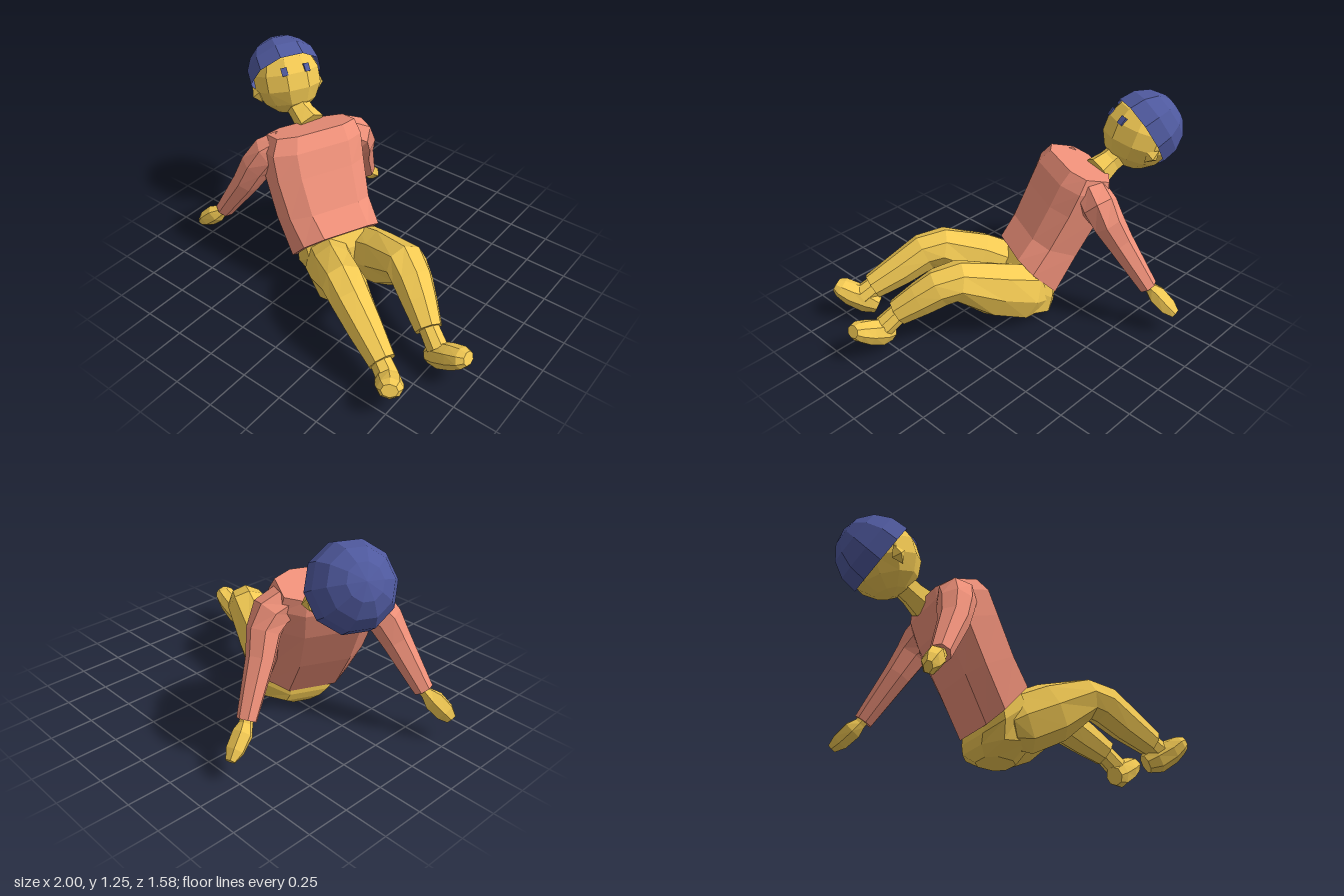
import * as THREE from 'three';

const V = (x, y, z) => new THREE.Vector3(x, y, z);
const mat = (color) => new THREE.MeshStandardMaterial({ color, flatShading: true, side: THREE.DoubleSide });
const SHIRT = mat(0xf0917a), SKIN = mat(0xf2c953), HAIR = mat(0x4f599e);

// Closed skin over rings { c, a, b }: points c + a cos + b sin.
// "phase" turns the first corner, "box" < 1 squares the outline.
function loft(name, material, rings, sides, phase, box) {
  const pos = [], idx = [];
  const sq = (v) => Math.sign(v) * Math.abs(v) ** box;
  for (const { c, a, b } of rings) {
    for (let j = 0; j < sides; j++) {
      const t = ((j + phase) / sides) * Math.PI * 2;
      const p = c.clone().addScaledVector(a, sq(Math.cos(t))).addScaledVector(b, sq(Math.sin(t)));
      pos.push(p.x, p.y, p.z);
    }
  }
  const last = rings.length - 1;
  const end = rings.length * sides;
  pos.push(...rings[0].c.toArray(), ...rings[last].c.toArray());
  for (let j = 0; j < sides; j++) {
    const k = (j + 1) % sides;
    for (let i = 0; i < last; i++) {
      const p = i * sides, q = p + sides;
      idx.push(p + j, p + k, q + k, p + j, q + k, q + j);
    }
    idx.push(end, k, j, end + 1, last * sides + j, last * sides + k);
  }
  const geo = new THREE.BufferGeometry();
  geo.setAttribute('position', new THREE.Float32BufferAttribute(pos, 3));
  geo.setIndex(idx);
  geo.computeVertexNormals();
  const mesh = new THREE.Mesh(geo, material);
  mesh.name = name;
  return mesh;
}

// Limb along points [x, y, z, halfHeight, halfWidth]
function limb(name, material, pts, sides = 8, up = V(0, 1, 0)) {
  const c = pts.map((p) => V(p[0], p[1], p[2]));
  const rings = pts.map((p, i) => {
    const t = c[Math.min(i + 1, c.length - 1)].clone().sub(c[Math.max(i - 1, 0)]).normalize();
    const a = up.clone().addScaledVector(t, -up.dot(t)).normalize();
    const b = t.clone().cross(a).multiplyScalar(p[4] ?? p[3]);
    return { c: c[i], a: a.multiplyScalar(p[3]), b };
  });
  return loft(name, material, rings, sides, 0, 1);
}

// Body rings: centre, forward half-depth vector, half-width towards the figure's left arm
function body(name, material, rows, box) {
  const side = V(0.42, 0, -0.907);
  return loft(name, material, rows.map(([c, f, w]) => ({
    c: V(...c), a: V(...f), b: side.clone().multiplyScalar(w),
  })), 8, 0.5, box);
}

function createHead() {
  const head = new THREE.Group();
  head.name = 'head';
  head.position.set(-0.745, 1.03, -0.25);
  head.lookAt(head.position.clone().add(V(0.84, 0.342, 0.42)));

  // skull, narrowing towards the chin
  const geo = new THREE.SphereGeometry(0.216, 10, 7);
  const p = geo.attributes.position;
  for (let i = 0; i < p.count; i++) {
    const y = p.getY(i);
    p.setX(i, p.getX(i) * (y < -0.05 ? 0.96 + (y + 0.05) * 0.5 : 0.96));
  }
  const skull = new THREE.Mesh(geo, SKIN);
  skull.name = 'skull';
  skull.position.set(0, -0.022, 0.014);
  head.add(skull);

  // hair cap, tipped to the back
  const hair = new THREE.Mesh(
    new THREE.SphereGeometry(0.232, 10, 4, 0, Math.PI * 2, 0, Math.PI * 0.53), HAIR);
  hair.name = 'hair';
  hair.rotation.x = -0.7;
  hair.scale.x = 0.97;
  head.add(hair);

  for (const s of [-1, 1]) {
    const eye = new THREE.Mesh(new THREE.BoxGeometry(0.036, 0.048, 0.022), HAIR);
    eye.name = 'eye';
    eye.position.set(s * 0.067, 0.043, 0.198);
    eye.rotation.set(-0.3, s * 0.32, 0);
    const ear = new THREE.Mesh(new THREE.OctahedronGeometry(1), SKIN);
    ear.name = 'ear';
    ear.scale.set(0.032, 0.055, 0.045);
    ear.position.set(s * 0.195, -0.085, 0.01);
    ear.rotation.set(-0.4, 0, -s * 0.3);
    head.add(eye, ear);
  }
  return head;
}

export function createModel() {
  const model = new THREE.Group();
  model.name = 'recliningFigure';

  // trunk
  model.add(body('shirt', SHIRT, [
    [[-0.12, 0.265, 0.065], [0.125, 0.145, 0.045], 0.255],
    [[-0.235, 0.44, 0.035], [0.145, 0.08, 0.055], 0.265],
    [[-0.335, 0.66, -0.015], [0.155, 0.055, 0.065], 0.285],
    [[-0.38, 0.8, -0.045], [0.15, 0.045, 0.065], 0.29],
    [[-0.4, 0.88, -0.07], [0.12, 0.04, 0.05], 0.255],
  ], 0.62));
  model.add(body('hips', SKIN, [
    [[-0.06, 0.003, 0.04], [0.11, 0, 0.03], 0.11],
    [[-0.06, 0.07, 0.045], [0.15, 0.02, 0.06], 0.22],
    [[-0.1, 0.2, 0.055], [0.135, 0.11, 0.05], 0.245],
    [[-0.14, 0.3, 0.055], [0.1, 0.11, 0.04], 0.23],
  ], 0.8));
  model.add(limb('neck', SKIN, [
    [-0.47, 0.83, -0.15, 0.09], [-0.55, 0.87, -0.17, 0.072], [-0.67, 0.94, -0.21, 0.072],
  ], 6));
  model.add(createHead());

  // arms, propped behind the back
  const fwd = V(0.9, 0.2, 0.4);
  model.add(limb('rightSleeve', SHIRT, [
    [-0.48, 0.79, 0.08, 0.1], [-0.55, 0.745, 0.135, 0.108], [-0.61, 0.66, 0.18, 0.098],
    [-0.67, 0.54, 0.215, 0.083], [-0.835, 0.28, 0.27, 0.055],
  ], 7, fwd));
  model.add(limb('rightHand', SKIN, [
    [-0.82, 0.3, 0.265, 0.035], [-0.855, 0.265, 0.275, 0.037], [-0.895, 0.23, 0.29, 0.052, 0.062],
    [-0.955, 0.175, 0.315, 0.045, 0.058], [-0.99, 0.14, 0.33, 0.022, 0.033],
  ], 6, fwd));
  model.add(limb('leftSleeve', SHIRT, [
    [-0.3, 0.79, -0.25, 0.1], [-0.275, 0.745, -0.325, 0.108], [-0.285, 0.66, -0.385, 0.095],
    [-0.325, 0.54, -0.445, 0.08], [-0.4, 0.275, -0.61, 0.055],
  ], 7, fwd));
  model.add(limb('leftHand', SKIN, [
    [-0.395, 0.3, -0.6, 0.035], [-0.41, 0.265, -0.625, 0.037], [-0.425, 0.23, -0.66, 0.06, 0.052],
    [-0.445, 0.17, -0.73, 0.058, 0.045], [-0.46, 0.135, -0.775, 0.033, 0.022],
  ], 6, fwd));

  // legs, knees raised
  model.add(limb('rightLeg', SKIN, [
    [-0.13, 0.16, 0.15, 0.12], [-0.06, 0.195, 0.195, 0.175, 0.145], [0.07, 0.275, 0.315, 0.17, 0.135],
    [0.24, 0.38, 0.435, 0.115, 0.125], [0.33, 0.36, 0.49, 0.11, 0.115],
    [0.47, 0.28, 0.55, 0.1], [0.63, 0.2, 0.62, 0.078],
  ]));
  model.add(limb('leftLeg', SKIN, [
    [-0.05, 0.13, -0.03, 0.13], [0.03, 0.18, -0.04, 0.175, 0.14], [0.2, 0.255, 0.02, 0.17, 0.13],
    [0.42, 0.385, 0.11, 0.115, 0.125], [0.5, 0.355, 0.165, 0.11, 0.115],
    [0.59, 0.295, 0.225, 0.1], [0.7, 0.22, 0.3, 0.078],
  ]));
  model.add(limb('rightAnkle', SKIN, [[0.6, 0.21, 0.61, 0.06], [0.69, 0.15, 0.65, 0.065]]));
  model.add(limb('leftAnkle', SKIN, [[0.68, 0.235, 0.285, 0.058], [0.78, 0.15, 0.33, 0.063]]));

  // feet, toes lifted
  model.add(limb('rightFoot', SKIN, [
    [0.63, 0.085, 0.585, 0.055, 0.05], [0.67, 0.115, 0.63, 0.082, 0.066], [0.73, 0.165, 0.695, 0.072, 0.074],
    [0.765, 0.205, 0.74, 0.055, 0.068], [0.78, 0.22, 0.765, 0.035, 0.045],
  ]));
  model.add(limb('leftFoot', SKIN, [
    [0.735, 0.085, 0.335, 0.055, 0.05], [0.79, 0.11, 0.335, 0.08, 0.066], [0.88, 0.16, 0.34, 0.072, 0.074],
    [0.945, 0.2, 0.345, 0.055, 0.068], [0.975, 0.215, 0.345, 0.035, 0.045],
  ]));
  return model;
}
